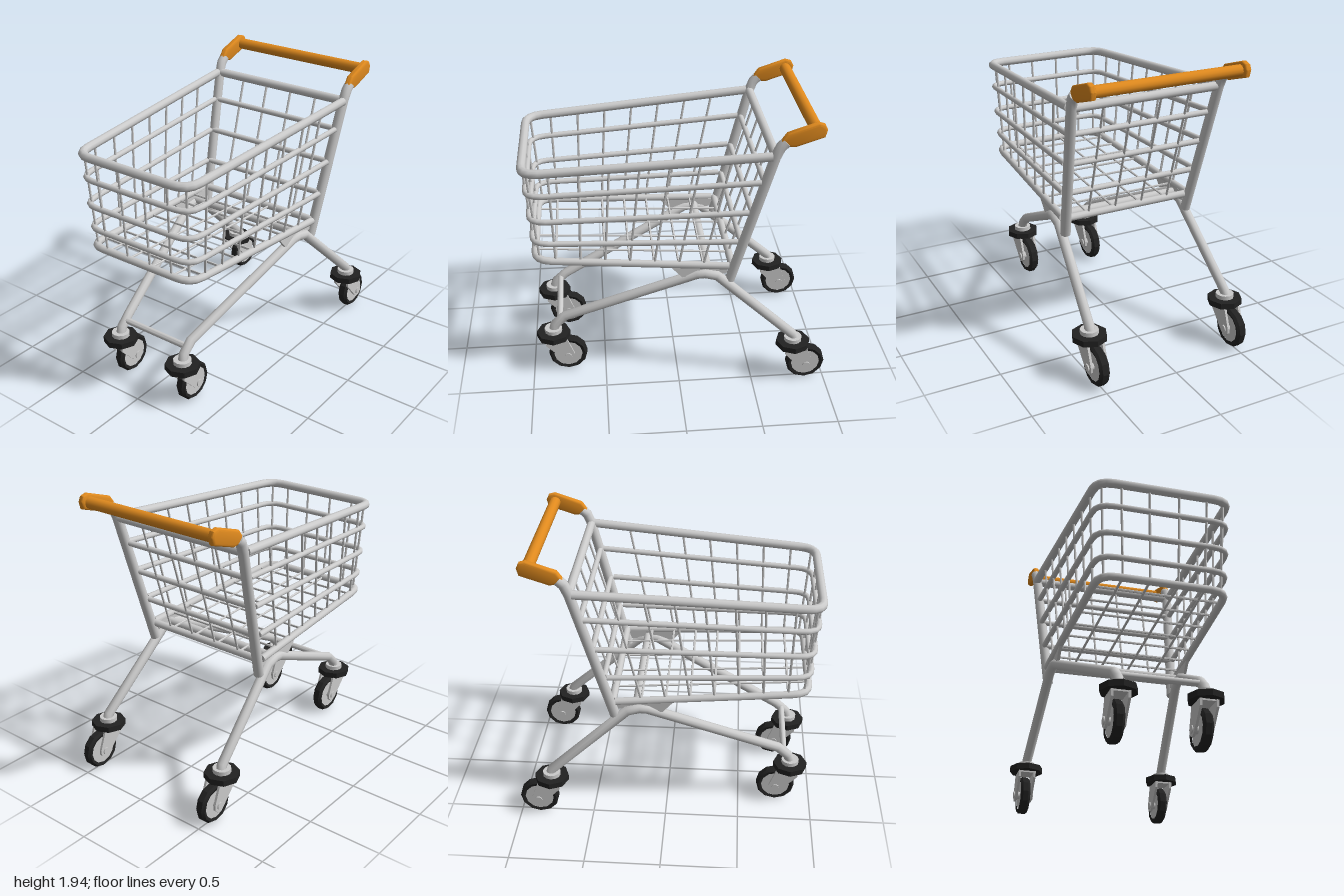
import * as THREE from 'three';
import { toCreasedNormals } from 'three/addons/utils/BufferGeometryUtils.js';

const steel = new THREE.MeshStandardMaterial({ color: 0xcccccc });
const orange = new THREE.MeshStandardMaterial({ color: 0xe08a1e });
const rubber = new THREE.MeshStandardMaterial({ color: 0x222222 });

const V = (x, y, z) => new THREE.Vector3(x, y, z);
const lerp = THREE.MathUtils.lerp;

function add(parent, name, geometry, material = steel) {
  const mesh = new THREE.Mesh(geometry, material);
  mesh.name = name;
  parent.add(mesh);
  return mesh;
}

// Round bar along a polyline, with mitred joints and closed ends
function bar(points, radius, sides = 10) {
  const n = points.length;
  const dirs = points.slice(1).map((p, i) => p.clone().sub(points[i]).normalize());
  const up = Math.abs(dirs[0].y) > 0.9 ? V(1, 0, 0) : V(0, 1, 0);
  const u = new THREE.Vector3().crossVectors(up, dirs[0]).normalize();
  const w = new THREE.Vector3().crossVectors(dirs[0], u);
  let ring = [];
  for (let k = 0; k < sides; k++) {
    const a = (k / sides) * Math.PI * 2;
    ring.push(points[0].clone().addScaledVector(u, radius * Math.cos(a)).addScaledVector(w, radius * Math.sin(a)));
  }
  const pos = [], index = [];
  points.forEach((p, i) => {
    if (i > 0) {
      const d = dirs[i - 1];
      const plane = i < n - 1 ? d.clone().add(dirs[i]).normalize() : d;
      ring = ring.map(v => v.clone().addScaledVector(d, p.clone().sub(v).dot(plane) / d.dot(plane)));
    }
    ring.forEach(v => pos.push(v.x, v.y, v.z));
  });
  for (let k = 0; k < sides; k++) {
    const m = (k + 1) % sides;
    for (let i = 0; i < n - 1; i++) {
      const a = i * sides + k, b = i * sides + m;
      index.push(a, b, a + sides, b, b + sides, a + sides);
    }
    if (k > 0 && m > 0) {
      const e = (n - 1) * sides;
      index.push(0, m, k, e, e + k, e + m);
    }
  }
  const g = new THREE.BufferGeometry();
  g.setAttribute('position', new THREE.Float32BufferAttribute(pos, 3));
  g.setIndex(index);
  return toCreasedNormals(g, 0.9);
}

// Plate drawn as [z, y] points, with its thickness along x
function plate(points, thickness, bevel = 0) {
  const shape = new THREE.Shape(points.map(([z, y]) => new THREE.Vector2(z, y)));
  const depth = thickness - 2 * bevel;
  return new THREE.ExtrudeGeometry(shape, {
    depth, bevelEnabled: bevel > 0, bevelSize: bevel, bevelThickness: bevel, bevelOffset: -bevel, bevelSegments: 3,
  }).translate(0, 0, -depth / 2).rotateY(-Math.PI / 2);
}

// Basket hoops from rim to floor: heights, depths and half widths at the back and front
const hoops = [
  { yb: 1.72, zb: -0.56, xb: 0.522, yf: 1.617, zf: 0.966, xf: 0.432, r: 0.029 },
  { yb: 1.535, zb: -0.503, xb: 0.505, yf: 1.46, zf: 0.953, xf: 0.43, r: 0.019 },
  { yb: 1.32, zb: -0.436, xb: 0.495, yf: 1.277, zf: 0.943, xf: 0.425, r: 0.019 },
  { yb: 1.103, zb: -0.373, xb: 0.48, yf: 1.115, zf: 0.933, xf: 0.415, r: 0.019 },
  { yb: 0.912, zb: -0.325, xb: 0.465, yf: 0.985, zf: 0.924, xf: 0.405, r: 0.025 },
];
const rim = hoops[0], base = hoops[4];
const backOffset = 0.02;

function onSide(h, z, s = 1) {
  const t = (z - h.zb) / (h.zf - h.zb);
  return V(s * lerp(h.xb, h.xf, t), lerp(h.yb, h.yf, t), z);
}

// Along one side, around the front and back along the other side
function hoopPath(h) {
  const corner = 0.11;
  const curve = new THREE.QuadraticBezierCurve3(
    onSide(h, h.zf - corner), V(h.xf, h.yf, h.zf), V(h.xf - corner, h.yf, h.zf));
  const half = [V(h.xb, h.yb, h.zb), ...curve.getPoints(4)];
  const mirrored = half.map(p => V(-p.x, p.y, p.z)).reverse();
  return [...half, ...mirrored];
}

function makeBasket() {
  const basket = new THREE.Group();
  basket.name = 'basket';
  hoops.forEach((h, i) => {
    add(basket, i === 0 ? 'rim' : i === 4 ? 'floorHoop' : 'sideHoop', bar(hoopPath(h), h.r));
    const zBack = h.zb - backOffset;
    add(basket, 'backBar', bar([V(-h.xb + 0.01, h.yb, zBack), V(h.xb - 0.01, h.yb, zBack)], h.r));
  });
  // Wires running down one side, across the floor and up the other side
  for (let i = 0; i < 7; i++) {
    const zt = 0.8 - i * 0.186, zb = 0.79 - i * 0.158;
    add(basket, 'crossWire', bar([onSide(rim, zt), onSide(base, zb), onSide(base, zb, -1), onSide(rim, zt, -1)], 0.008, 6));
  }
  // Wires running down the back, along the floor and up the front
  for (const [xBack, xFront] of [[-0.3, -0.26], [-0.1, -0.09], [0.1, 0.09], [0.3, 0.26]]) {
    add(basket, 'lengthWire', bar([
      V(xBack, rim.yb, rim.zb - backOffset), V(xBack * 0.97, base.yb, base.zb - backOffset),
      V(xFront, base.yf, base.zf), V(xFront * 1.08, rim.yf, rim.zf)], 0.008, 6));
  }
  // Wires at the rounded front corners
  for (const s of [-1, 1]) {
    add(basket, 'cornerWire', bar([V(s * 0.4, rim.yf, 0.935), V(s * 0.372, base.yf, 0.893)], 0.008, 6));
  }
  return basket;
}

// Swivel wheel, with the pivot at the group's origin and the wheel trailing behind
function makeCaster() {
  const caster = new THREE.Group();
  caster.name = 'caster';
  add(caster, 'collar', new THREE.CylinderGeometry(0.06, 0.06, 0.03, 12).translate(0, 0.328, 0));
  add(caster, 'bumperDisc', toCreasedNormals(
    new THREE.CylinderGeometry(0.115, 0.115, 0.04, 8), 0.3).translate(0, 0.295, 0), rubber);
  add(caster, 'forkBridge', new THREE.BoxGeometry(0.12, 0.016, 0.13).translate(0, 0.272, -0.01));
  const arm = [[0.06, 0.28], [0.055, 0.23], [-0.06, 0.105], [-0.085, 0.09], [-0.115, 0.093],
    [-0.137, 0.115], [-0.138, 0.15], [-0.09, 0.28]];
  for (const s of [-1, 1]) {
    add(caster, 'forkArm', plate(arm, 0.016).translate(s * 0.052, 0, 0));
  }
  const wheel = new THREE.Group();
  wheel.name = 'wheel';
  wheel.position.set(0, 0.133, -0.093);
  caster.add(wheel);
  const profile = [[0.098, -0.028], [0.118, -0.034], [0.132, -0.018], [0.132, 0.018], [0.118, 0.034], [0.098, 0.028]];
  const tyre = new THREE.LatheGeometry(profile.map(([r, y]) => new THREE.Vector2(r, y)), 12);
  add(wheel, 'tyre', toCreasedNormals(tyre, 0.4).rotateZ(Math.PI / 2), rubber);
  add(wheel, 'hub', new THREE.CylinderGeometry(0.1, 0.1, 0.05, 12).rotateZ(Math.PI / 2));
  add(wheel, 'axle', new THREE.CylinderGeometry(0.026, 0.026, 0.136, 10).rotateZ(Math.PI / 2));
  return caster;
}

export function createModel() {
  const cart = new THREE.Group();
  cart.name = 'shoppingCart';
  cart.add(makeBasket());

  const gripOutline = [[-0.603, 1.822], [-0.64, 1.875], [-0.825, 1.937], [-0.865, 1.925],
    [-0.882, 1.89], [-0.87, 1.842], [-0.69, 1.783], [-0.635, 1.79]];
  const gusset = [[0.06, 0.925], [-0.02, 0.835], [-0.14, 0.845], [-0.31, 0.85], [-0.33, 0.91]];
  for (const s of [-1, 1]) {
    // Rear upright, bending into the handle
    add(cart, 'upright', bar([V(s * 0.452, 0.8, -0.335), V(s * 0.515, 1.72, -0.58),
      V(s * 0.52, 1.785, -0.607), V(s * 0.52, 1.815, -0.64)], 0.034));
    // Leg tube from the front caster over the bend to the rear caster
    add(cart, 'leg', bar([V(s * 0.265, 0.32, 0.85), V(s * 0.265, 0.375, 0.832), V(s * 0.266, 0.44, 0.76),
      V(s * 0.448, 0.85, -0.12), V(s * 0.453, 0.856, -0.17), V(s * 0.458, 0.838, -0.25),
      V(s * 0.503, 0.36, -0.77), V(s * 0.505, 0.32, -0.785)], 0.033));
    add(cart, 'gusset', plate(gusset, 0.02).translate(s * 0.447, 0, 0));
    add(cart, 'handleEnd', toCreasedNormals(plate(gripOutline, 0.046, 0.016), 0.7).translate(s * 0.52, 0, 0), orange);
    for (const [x, z] of [[0.265, 0.85], [0.505, -0.775]]) {
      const caster = makeCaster();
      caster.position.set(s * x, 0, z);
      cart.add(caster);
    }
  }

  // Bars across the frame
  const across = (name, x, y, z, r, material) => add(cart, name, bar([V(-x, y, z), V(x, y, z)], r, 12), material);
  across('handleBar', 0.52, 1.878, -0.822, 0.038, orange);
  across('frameCrossbar', 0.45, 0.87, -0.19, 0.029);
  across('frontCrossbar', 0.265, 0.41, 0.8, 0.021);
  return cart;
}
